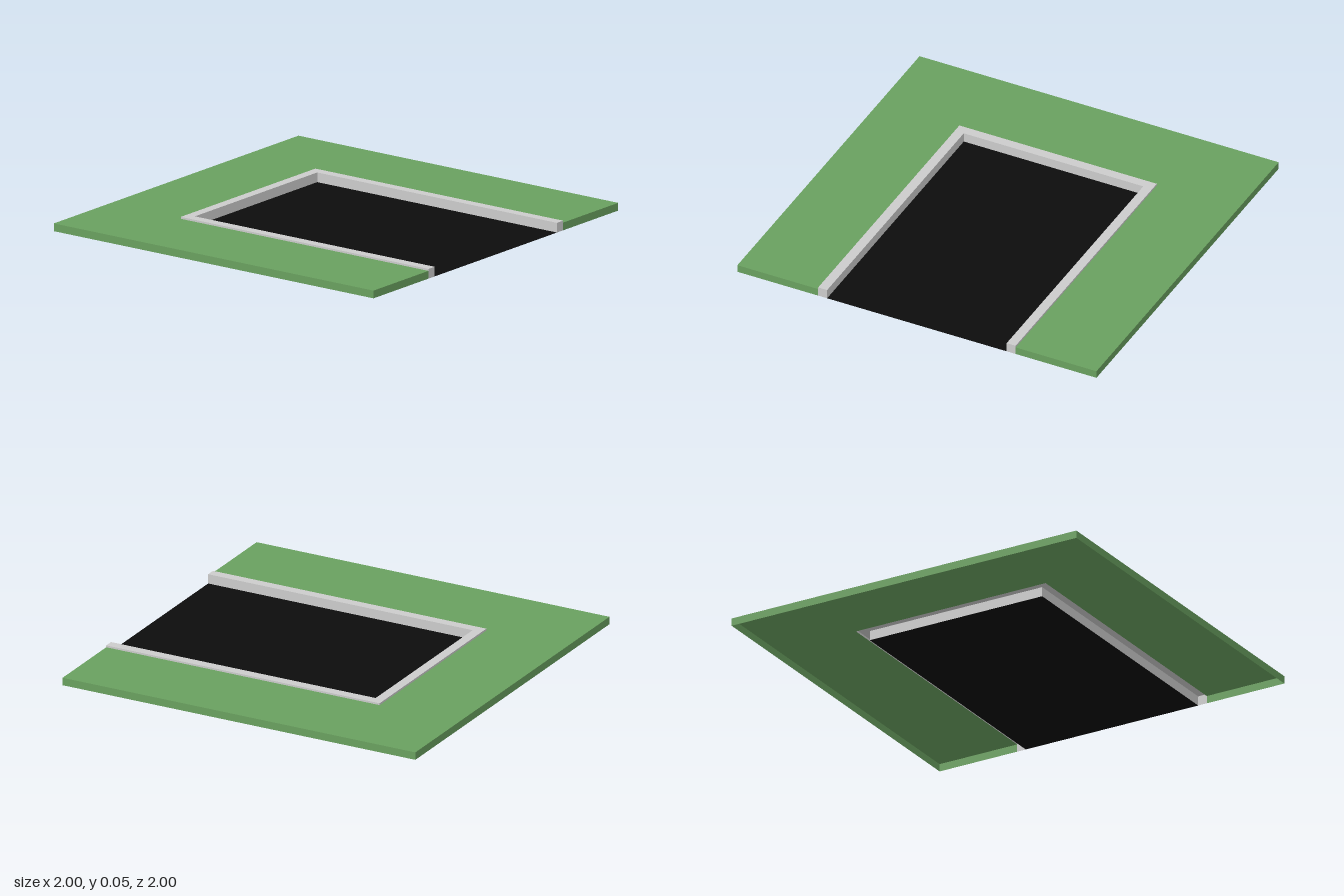
import * as THREE from 'three';

const HALF = 1, ROAD = 0.5, CURB = 0.55; // half widths
const LAWN_Y = 0.04, CURB_Y = 0.05;

const mat = (name, color) => {
  const m = new THREE.MeshStandardMaterial({ color, side: THREE.DoubleSide });
  m.name = name;
  return m;
};

// U-shaped path round the road, open at the front: [x, z]
const uPath = (r) => [[-r, HALF], [-r, -r], [r, -r], [r, HALF]];

// Flat horizontal plate from [x, z] corners
function plate(points, y) {
  const shape = new THREE.Shape(points.map(([x, z]) => new THREE.Vector2(x, -z)));
  return new THREE.ShapeGeometry(shape).rotateX(-Math.PI / 2).translate(0, y, 0);
}

// Vertical walls standing on consecutive [x, z] points
function walls(points, y0, y1) {
  const pos = [];
  for (let i = 0; i < points.length - 1; i++) {
    const [ax, az] = points[i], [bx, bz] = points[i + 1];
    pos.push(ax, y0, az, bx, y0, bz, bx, y1, bz, ax, y0, az, bx, y1, bz, ax, y1, az);
  }
  const g = new THREE.BufferGeometry();
  g.setAttribute('position', new THREE.Float32BufferAttribute(pos, 3));
  g.computeVertexNormals();
  return g;
}

export function createModel() {
  const model = new THREE.Group();
  model.name = 'roadEndTile';
  const grass = mat('grassGreen', 0x69a05f);
  const stone = mat('curbGrey', 0xcccccc);
  const asphalt = mat('asphaltBlack', 0x0c0c0c);

  const add = (parent, name, geometry, material) => {
    const mesh = new THREE.Mesh(geometry, material);
    mesh.name = name;
    parent.add(mesh);
  };

  // Lawn: hollow slab, open below, with the road bay cut out
  const lawn = new THREE.Group();
  lawn.name = 'lawn';
  const rim = [[-CURB, HALF], [-HALF, HALF], [-HALF, -HALF], [HALF, -HALF], [HALF, HALF], [CURB, HALF]];
  // the bay corners run counter-clockwise back to the start of the rim
  add(lawn, 'lawnTop', plate([...rim, ...uPath(CURB).slice(1, 3).reverse()], LAWN_Y), grass);
  add(lawn, 'lawnSides', walls([...rim].reverse(), 0, LAWN_Y), grass);

  // Curb: top strip, outer lip, inner wall and two front ends
  const curb = new THREE.Group();
  curb.name = 'curb';
  add(curb, 'curbTop', plate([...uPath(CURB).reverse(), ...uPath(ROAD)], CURB_Y), stone);
  add(curb, 'curbOuterLip', walls(uPath(CURB).reverse(), LAWN_Y, CURB_Y), stone);
  add(curb, 'curbInnerWall', walls(uPath(ROAD), 0, CURB_Y), stone);
  add(curb, 'curbEndRight', walls([[-CURB, HALF], [-ROAD, HALF]], 0, CURB_Y), stone);
  add(curb, 'curbEndLeft', walls([[ROAD, HALF], [CURB, HALF]], 0, CURB_Y), stone);

  model.add(lawn, curb);

  // Road surface between the curbs
  add(model, 'road', plate(uPath(ROAD), 0), asphalt);
  return model;
}
